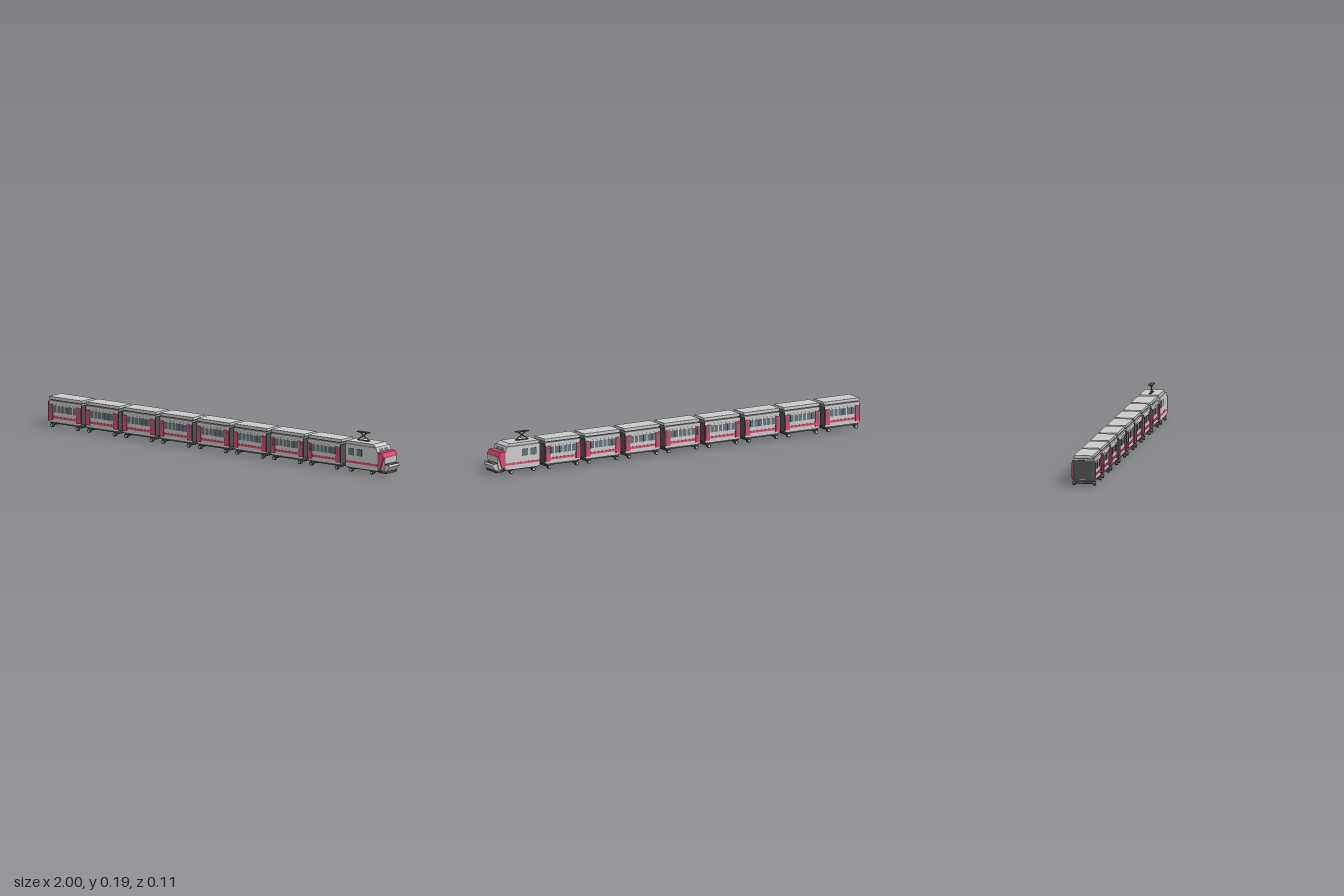
import * as THREE from 'three';

const mat = (color, extra = {}) => new THREE.MeshStandardMaterial({ color, flatShading: true, ...extra });
const grey = mat(0xcccccc);
const red = mat(0xdc4a70);
const dark = mat(0x4c504f);
const glass = mat(0x63757f);

function add(parent, name, geo, material, x = 0, y = 0, z = 0) {
  const m = new THREE.Mesh(geo, material);
  m.name = name;
  m.position.set(x, y, z);
  parent.add(m);
  return m;
}

// Box given by its extents
function block(parent, name, material, x0, x1, y0, y1, z0, z1) {
  return add(parent, name, new THREE.BoxGeometry(x1 - x0, y1 - y0, z1 - z0), material,
    (x0 + x1) / 2, (y0 + y1) / 2, (z0 + z1) / 2);
}

// The same box on both long sides
function sideBlocks(parent, name, material, x0, x1, y0, y1, z0, z1) {
  block(parent, name, material, x0, x1, y0, y1, z0, z1);
  block(parent, name, material, x0, x1, y0, y1, -z1, -z0);
}

// Outline in x and y, extruded across the train's width
function profile(parent, name, material, points, halfWidth) {
  const shape = new THREE.Shape(points.map(p => new THREE.Vector2(...p)));
  const geo = new THREE.ExtrudeGeometry(shape, { depth: 2 * halfWidth, bevelEnabled: false });
  return add(parent, name, geo, material, 0, 0, -halfWidth);
}

// Thin bar between two points
function rod(parent, name, material, a, b, r) {
  const p = new THREE.Vector3(...a), q = new THREE.Vector3(...b);
  const m = add(parent, name, new THREE.CylinderGeometry(r, r, p.distanceTo(q), 8), material);
  m.position.copy(p).add(q).multiplyScalar(0.5);
  m.quaternion.setFromUnitVectors(new THREE.Vector3(0, 1, 0), q.sub(p).normalize());
}

// Axle with a wheel and hub at each side
function wheelset(parent, x) {
  rod(parent, 'axle', dark, [x, 0.0095, -0.048], [x, 0.0095, 0.048], 0.003);
  for (const s of [-1, 1]) {
    const wheel = new THREE.CylinderGeometry(0.0095, 0.0095, 0.011, 16).rotateX(Math.PI / 2);
    const hub = new THREE.CylinderGeometry(0.005, 0.005, 0.002, 12).rotateX(Math.PI / 2);
    add(parent, 'wheel', wheel, dark, x, 0.0095, s * 0.0485);
    add(parent, 'wheelHub', hub, grey, x, 0.0095, s * 0.0545);
    block(parent, 'axleBox', dark, x - 0.004, x + 0.004, 0.009, 0.022, s * 0.04 - 0.002, s * 0.04 + 0.002);
  }
}

function createCar() {
  const car = new THREE.Group();
  car.name = 'passengerCar';
  block(car, 'body', grey, -0.096, 0.096, 0.026, 0.126, -0.05, 0.05);
  block(car, 'roofNeck', dark, -0.092, 0.092, 0.126, 0.131, -0.043, 0.043);
  block(car, 'roof', grey, -0.097, 0.097, 0.131, 0.143, -0.045, 0.045);
  block(car, 'floor', dark, -0.088, 0.088, 0.018, 0.026, -0.048, 0.048);
  sideBlocks(car, 'stripe', red, -0.07, 0.07, 0.043, 0.053, 0.05, 0.0525);
  sideBlocks(car, 'windowBand', grey, -0.07, 0.07, 0.064, 0.111, 0.05, 0.0512);
  for (let i = 0; i < 6; i++) {
    const x = -0.0575 + i * 0.023;
    sideBlocks(car, 'window', glass, x - 0.009, x + 0.009, 0.072, 0.104, 0.05, 0.0523);
  }
  for (const s of [-1, 1]) {
    const x = s * 0.082;
    sideBlocks(car, 'door', red, x - 0.012, x + 0.012, 0.035, 0.108, 0.05, 0.0555);
    sideBlocks(car, 'doorWindow', glass, x - 0.005, x + 0.005, 0.07, 0.1, 0.0555, 0.0562);

    // Dark end wall with chamfered corners in plan
    const plan = new THREE.Shape([[0.095, -0.0515], [0.0975, -0.0515], [0.1015, -0.042],
      [0.1015, 0.042], [0.0975, 0.0515], [0.095, 0.0515]].map(p => new THREE.Vector2(...p)));
    const geo = new THREE.ExtrudeGeometry(plan, { depth: 0.091, bevelEnabled: false });
    geo.rotateX(-Math.PI / 2);
    if (s < 0) geo.rotateY(Math.PI);
    add(car, 'endWall', geo, dark, 0, 0.03, 0);
    wheelset(car, s * 0.075);
  }
  return car;
}

function createLocomotive() {
  const loco = new THREE.Group();
  loco.name = 'locomotive';
  profile(loco, 'body', grey, [[0.75, 0.022], [0.938, 0.022], [0.938, 0.11], [0.93, 0.13], [0.75, 0.13]], 0.052);
  profile(loco, 'roof', grey, [[0.752, 0.13], [0.926, 0.13], [0.91, 0.143], [0.752, 0.143]], 0.045);
  block(loco, 'floor', dark, 0.76, 0.94, 0.016, 0.023, -0.047, 0.047);
  sideBlocks(loco, 'stripe', red, 0.75, 0.938, 0.042, 0.052, 0.051, 0.0527);
  for (const x of [0.786, 0.831]) {
    sideBlocks(loco, 'windowFrame', dark, x - 0.016, x + 0.016, 0.079, 0.112, 0.051, 0.0526);
    sideBlocks(loco, 'sideWindow', glass, x - 0.014, x + 0.014, 0.081, 0.11, 0.051, 0.0532);
  }
  // Sloped nose
  profile(loco, 'nose', red, [[0.937, 0.03], [0.955, 0.03], [0.974, 0.087], [0.965, 0.108], [0.937, 0.108]], 0.0515);
  profile(loco, 'nosePanel', grey, [[0.945, 0.024], [0.97, 0.024], [0.974, 0.053], [0.978, 0.087], [0.945, 0.087]], 0.045);
  profile(loco, 'bumper', grey, [[0.955, 0.02], [0.982, 0.02], [1, 0.044], [0.994, 0.053], [0.965, 0.056]], 0.039);
  profile(loco, 'bumperTrim', dark, [[0.965, 0.053], [0.995, 0.05], [0.995, 0.054], [0.965, 0.057]], 0.04);
  block(loco, 'lowerSkirt', dark, 0.94, 0.983, 0.011, 0.021, -0.041, 0.041);
  for (const s of [-1, 1]) {
    block(loco, 'headlight', grey, 0.985, 0.997, 0.05, 0.057, s * 0.031 - 0.006, s * 0.031 + 0.006);
    // Windscreen half
    const pane = new THREE.Shape([[0.002, 0], [0.037, 0], [0.032, 0.016], [0.004, 0.016]]
      .map(p => new THREE.Vector2(...p)));
    const geo = new THREE.ShapeGeometry(pane);
    geo.rotateX(-0.38);
    geo.rotateY(Math.PI / 2);
    if (s < 0) geo.scale(1, 1, -1);
    add(loco, 'windscreen', geo, mat(0x63757f, { side: THREE.DoubleSide }), 0.9392, 0.108, 0);
  }
  wheelset(loco, 0.785);
  wheelset(loco, 0.905);

  // Pantograph: base, crossed arms and contact plate
  const pan = new THREE.Group();
  pan.name = 'pantograph';
  loco.add(pan);
  block(pan, 'pantographBase', dark, 0.785, 0.85, 0.143, 0.146, -0.006, 0.006);
  for (const s of [-1, 1])
    rod(pan, 'pantographArm', dark, [0.817 - s * 0.032, 0.146, s * 0.001], [0.817 + s * 0.024, 0.183, s * 0.001], 0.0025);
  const plate = new THREE.Shape([[-0.036, -0.005], [-0.026, -0.012], [0.026, -0.012], [0.036, -0.005],
    [0.036, 0.005], [0.026, 0.012], [-0.026, 0.012], [-0.036, 0.005]].map(p => new THREE.Vector2(...p)));
  const geo = new THREE.ExtrudeGeometry(plate, { depth: 0.003, bevelEnabled: false }).rotateX(-Math.PI / 2);
  add(pan, 'contactPlate', geo, dark, 0.817, 0.182, 0);
  return loco;
}

export function createModel() {
  const train = new THREE.Group();
  train.name = 'train';
  const pitch = 0.2175;
  for (let i = 0; i < 8; i++) {
    const car = createCar();
    car.position.x = -0.8985 + i * pitch;
    train.add(car);
    // Coupling to the next vehicle
    const end = car.position.x + 0.1;
    block(train, 'coupling', dark, end, end + (i < 7 ? 0.017 : 0.03), 0.028, 0.036, -0.008, 0.008);
  }
  train.add(createLocomotive());
  return train;
}
